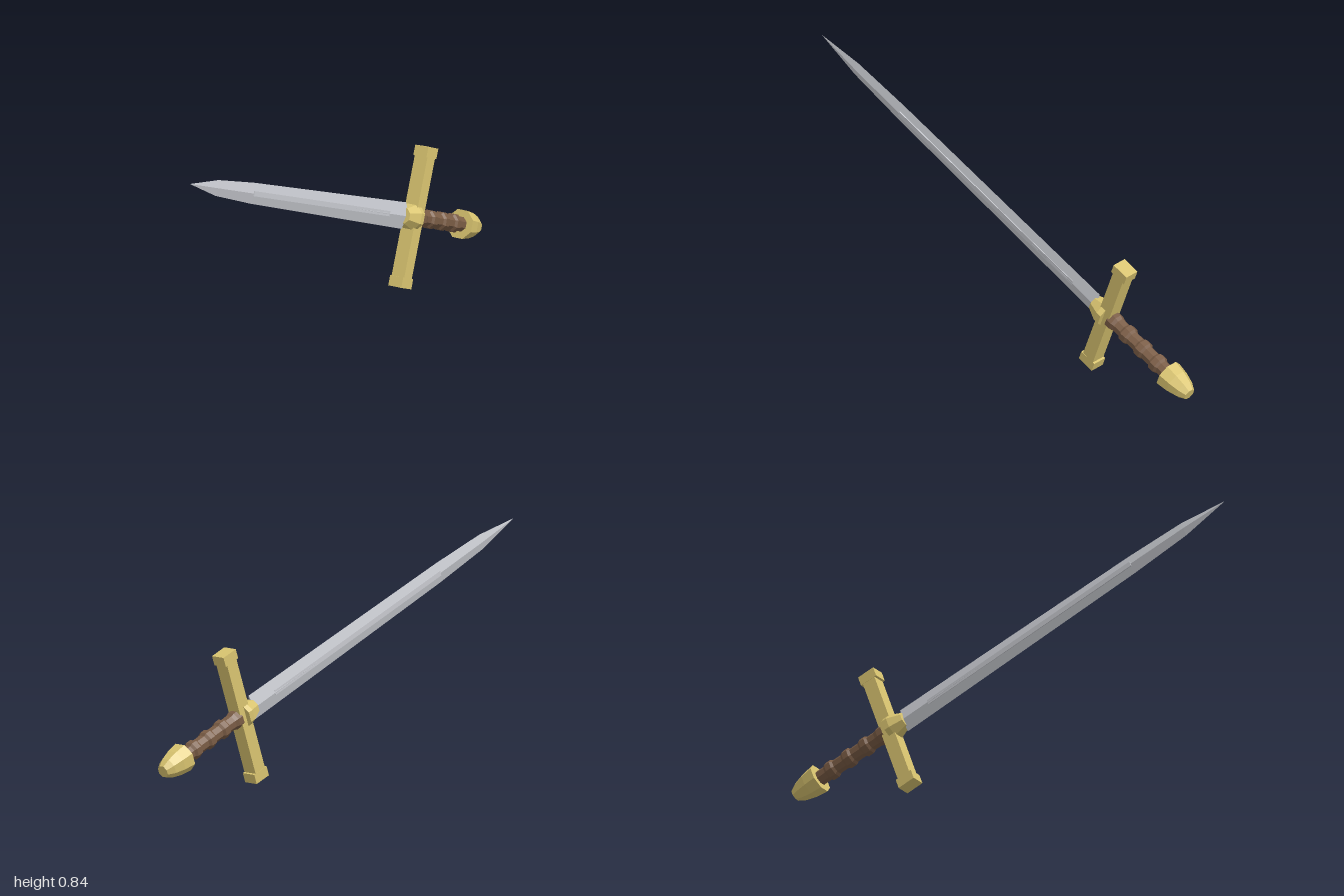
import * as THREE from 'three';

const paint = (color) => new THREE.MeshStandardMaterial({ color, flatShading: true, side: THREE.DoubleSide });

export function createModel() {
  const steel = paint(0xc8cad0);
  const gold = paint(0xd9c470);
  const leather = paint(0x7a5c45);

  // Built upright along y with the guard at the origin, tilted at the end
  const sword = new THREE.Group();
  sword.name = 'sword';

  const add = (name, geometry, material, y = 0, z = 0) => {
    const mesh = new THREE.Mesh(geometry, material);
    mesh.name = name;
    mesh.position.set(0, y, z);
    sword.add(mesh);
    return mesh;
  };

  // Faceted solid of revolution from [radius, height] pairs, lowest first
  const turned = (profile, sides, phase = 0) =>
    new THREE.LatheGeometry(profile.map(([r, y]) => new THREE.Vector2(r, y)), sides, phase);
  const octagon = (profile) => {
    const k = 1 / Math.cos(Math.PI / 8); // radii are given to the flats
    return turned(profile.map(([r, y]) => [r * k, y]), 8, Math.PI / 8);
  };

  // Blade: a flattened diamond section tapering to the point
  const blade = add('blade', turned([[0, 0.068], [0.052, 0.068], [0.041, 1.19], [0.031, 1.45], [0, 1.65]], 4), steel);
  blade.scale.x = 0.27;

  // Narrow rib along the middle of both blade faces
  add('bladeRib', new THREE.BoxGeometry(0.026, 1.0, 0.02), steel, 0.693);

  // Collar between guard and blade
  add('collar', octagon([[0, 0.0], [0.05, 0.0], [0.05, 0.022], [0.03, 0.075], [0, 0.075]]), gold);

  // Crossguard with a slightly thicker block at each end
  add('guardBar', new THREE.BoxGeometry(0.058, 0.056, 0.5), gold);
  for (const side of [-1, 1]) {
    add('guardEnd', new THREE.BoxGeometry(0.06, 0.074, 0.04), gold, 0, side * 0.255);
  }

  // Grip with raised rings
  const grip = [[0.028, -0.35]];
  for (const y of [-0.285, -0.2, -0.115]) {
    grip.push([0.028, y - 0.022], [0.035, y - 0.012], [0.035, y + 0.012], [0.028, y + 0.022]);
  }
  grip.push([0.029, -0.06], [0.034, -0.045], [0.034, -0.02]);
  add('grip', octagon(grip), leather);

  // Pommel: flat towards the grip, rounding off to a small end
  add('pommel', octagon([[0, -0.468], [0.023, -0.468], [0.038, -0.438], [0.049, -0.395], [0.055, -0.345], [0, -0.345]]), gold);

  // Blade points forward and 20 degrees upward
  sword.rotation.x = THREE.MathUtils.degToRad(70);
  sword.position.set(0, 0.271, -0.55);

  const model = new THREE.Group();
  model.name = 'model';
  model.add(sword);
  return model;
}
